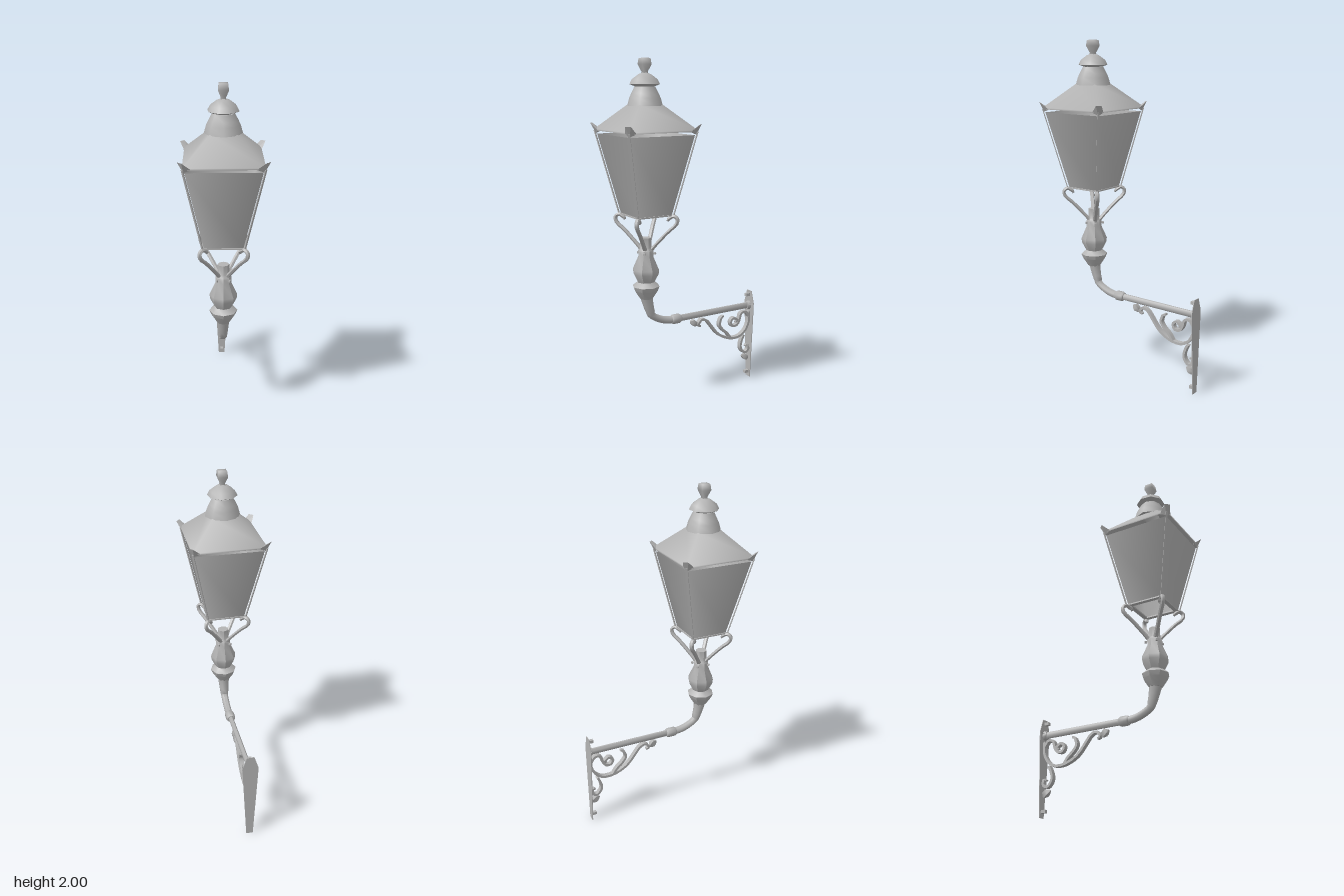
import * as THREE from 'three';
import { toCreasedNormals } from 'three/addons/utils/BufferGeometryUtils.js';
import { ConvexGeometry } from 'three/addons/geometries/ConvexGeometry.js';

const LAMP_Z = 0.253;

export function createModel() {
  const model = new THREE.Group();
  const metal = new THREE.MeshStandardMaterial({ color: 0xb4b4b4, side: THREE.DoubleSide });

  const add = (name, geometry, parent = model) => {
    const mesh = new THREE.Mesh(geometry, metal);
    mesh.name = name;
    parent.add(mesh);
    return mesh;
  };

  // Profile of [radius, y] turned about the vertical axis
  const lathe = (profile, sides, turn = 0) =>
    new THREE.LatheGeometry(profile.map(([r, y]) => new THREE.Vector2(r, y)), sides, turn);

  // Sweep along [z, y, scale] points in the side plane: w is half width in x, t half thickness
  function sweep(path, w, t, sides = 4, steps = 0) {
    const curve = new THREE.CatmullRomCurve3(path.map(([z, y, s = 1]) => new THREE.Vector3(s, y, z)));
    const pts = steps ? curve.getPoints(steps) : curve.points;
    const pos = [], index = [];
    pts.forEach((p, i) => {
      const a = pts[Math.max(i - 1, 0)], b = pts[Math.min(i + 1, pts.length - 1)];
      const len = Math.hypot(b.y - a.y, b.z - a.z);
      const ty = (b.y - a.y) / len, tz = (b.z - a.z) / len;
      for (let j = 0; j < sides; j++) {
        const ang = ((j + 0.5) / sides) * Math.PI * 2;
        const k = sides === 4 ? Math.SQRT2 : 1;
        const n = Math.cos(ang) * t * k * p.x;
        pos.push(Math.sin(ang) * w * k * p.x, p.y - tz * n, p.z + ty * n);
        if (i < pts.length - 1) {
          const q = i * sides + j, r = i * sides + (j + 1) % sides;
          index.push(q, r, q + sides, r, r + sides, q + sides);
        }
      }
    });
    // End caps
    const last = (pts.length - 1) * sides;
    for (let j = 1; j < sides - 1; j++) index.push(0, j + 1, j, last, last + j, last + j + 1);
    const g = new THREE.BufferGeometry();
    g.setAttribute('position', new THREE.Float32BufferAttribute(pos, 3));
    g.setIndex(index);
    return toCreasedNormals(g, 0.9);
  }

  // Lantern
  const lantern = new THREE.Group();
  lantern.name = 'lantern';
  lantern.position.z = LAMP_Z;
  model.add(lantern);
  const R = Math.SQRT2, Q = Math.PI / 4;
  add('panes', lathe([[0.106 * R, 1.135], [0.2 * R, 1.585]], 4, Q), lantern);
  add('roof', lathe([[0.212 * R, 1.603], [0.212 * R, 1.612], [0.07 * R, 1.75], [0.05 * R, 1.77]], 4, Q), lantern);

  // Roof ornament: two tiers and a square knob
  add('lowerTier', toCreasedNormals(lathe([[0.055, 1.755], [0.102, 1.742], [0.09, 1.785], [0.078, 1.81],
    [0.06, 1.845], [0.04, 1.85]], 8), 0.8), lantern);
  const upper = add('upperTier', toCreasedNormals(lathe([[0.035, 1.84], [0.06, 1.848], [0.086, 1.858],
    [0.072, 1.885], [0.035, 1.912], [0.013, 1.92]], 8, 0.3), 0.8), lantern);
  upper.rotation.y = 0.2;
  add('knob', lathe([[0.025, 1.905], [0.018, 1.925], [0.04, 1.965], [0.034, 1.998], [0, 2]], 4, Q), lantern);

  // Corner bars, roof horns and curved supports, repeated on the four diagonals
  const bar = sweep([[0.113 * R, 1.13], [0.211 * R, 1.605]], 0.006, 0.003);
  const horn = new ConvexGeometry([
    [0.212, 1.645, 0.235], [0.235, 1.645, 0.212], [0.165, 1.603, 0.21], [0.21, 1.603, 0.165],
    [0.205, 1.588, 0.205], [0.19, 1.612, 0.19],
  ].map((p) => new THREE.Vector3(...p)));
  const support = sweep([[0.03, 0.93, 1.1], [0.06, 0.965], [0.13, 1.04], [0.178, 1.085], [0.182, 1.115],
    [0.16, 1.13], [0.14, 1.118], [0.133, 1.1, 0.4]], 0.013, 0.011, 6, 16);
  for (let i = 0; i < 4; i++) {
    const turn = i * Math.PI / 2;
    add('cornerBar', bar, lantern).rotation.y = turn + Q;
    add('roofHorn', horn, lantern).rotation.y = turn;
    add('lanternSupport', support, lantern).rotation.y = turn + Q;
    // Bottom frame
    const sill = add('bottomRail', new THREE.BoxGeometry(0.226, 0.008, 0.024), lantern);
    sill.geometry.translate(0, 1.134, 0.1);
    sill.rotation.y = turn;
  }

  // Post with two swellings
  const post = add('post', toCreasedNormals(lathe([[0, 1], [0.033, 1], [0.034, 0.94], [0.045, 0.925], [0.045, 0.89],
    [0.078, 0.815], [0.076, 0.79], [0.05, 0.74], [0.08, 0.715], [0.07, 0.69], [0.038, 0.64], [0, 0.63]].reverse(), 8), 0.7));
  post.position.z = LAMP_Z + 0.005;
  // Bolts on the neck
  for (let i = 0; i < 4; i++) {
    const bolt = add('neckBolt', new THREE.BoxGeometry(0.012, 0.012, 0.012).translate(0, 0.91, 0.05));
    bolt.position.z = LAMP_Z;
    bolt.rotation.y = i * Math.PI / 2 + Q;
  }

  // Elbow, collar and horizontal arm
  add('elbow', sweep([[0.258, 0.67, 1.9], [0.25, 0.62, 1.5], [0.232, 0.555, 1.2], [0.21, 0.52], [0.16, 0.495],
    [0.11, 0.482], [0.06, 0.48]], 0.022, 0.022, 8, 14));
  add('collar', sweep([[0.09, 0.48, 0.8], [0.08, 0.48], [0.035, 0.48], [0.025, 0.48, 0.8]], 0.029, 0.029, 8));
  add('arm', sweep([[0.03, 0.48], [-0.47, 0.48]], 0.014, 0.02, 8));
  add('armFlange', sweep([[-0.465, 0.48], [-0.487, 0.48, 1.25]], 0.02, 0.024, 8));

  // Wall plate
  const plate = new THREE.Shape([[-0.02, 0], [0.02, 0], [0.046, 0.47], [0.046, 0.5], [0.022, 0.575], [-0.022, 0.575],
    [-0.046, 0.5], [-0.046, 0.47]].map((p) => new THREE.Vector2(...p)));
  add('wallPlate', new THREE.ExtrudeGeometry(plate, { depth: 0.004, bevelEnabled: false })).position.z = -0.488;
  for (const y of [0.035, 0.55])
    add('plateBolt', new THREE.BoxGeometry(0.02, 0.018, 0.03)).position.set(0, y, -0.47);
  const gusset = new THREE.Shape([[-0.045, 0.486], [0.045, 0.486], [0.014, 0.465], [-0.014, 0.465]]
    .map((p) => new THREE.Vector2(...p)));
  const shelf = add('plateGusset', new THREE.ShapeGeometry(gusset));
  shelf.rotation.x = -Math.PI / 2;
  shelf.position.y = 0.49;

  // Wrought scrollwork under the arm
  const scrolls = {
    mainScroll: [[-0.115, 0.405, 0.7], [-0.1, 0.425], [-0.12, 0.445], [-0.155, 0.435], [-0.2, 0.38], [-0.25, 0.325],
      [-0.33, 0.288], [-0.4, 0.287], [-0.445, 0.315], [-0.475, 0.37], [-0.478, 0.44]],
    innerScroll: [[-0.285, 0.44, 0.7], [-0.26, 0.42], [-0.252, 0.39], [-0.275, 0.355], [-0.31, 0.325], [-0.335, 0.29]],
    volute: [[-0.475, 0.41], [-0.45, 0.442], [-0.415, 0.435], [-0.405, 0.4], [-0.385, 0.368], [-0.35, 0.365],
      [-0.337, 0.395], [-0.36, 0.415], [-0.385, 0.4], [-0.375, 0.385, 0.6]],
    lowerScroll: [[-0.44, 0.29], [-0.425, 0.26], [-0.415, 0.22], [-0.425, 0.19], [-0.45, 0.17], [-0.475, 0.185],
      [-0.475, 0.205], [-0.455, 0.21, 0.6]],
  };
  for (const [name, path] of Object.entries(scrolls)) add(name, sweep(path, 0.014, 0.0075, 4, path.length * 2));

  // Leaf tips at the scroll ends
  add('frontLeaf', sweep([[-0.045, 0.44, 0.4], [-0.06, 0.44, 1], [-0.075, 0.425, 1], [-0.085, 0.41, 0.3]], 0.014, 0.016));
  add('lowerLeaf', sweep([[-0.43, 0.15, 0.3], [-0.45, 0.143, 1], [-0.465, 0.13, 1], [-0.475, 0.115, 0.3]], 0.014, 0.016));

  return model;
}
